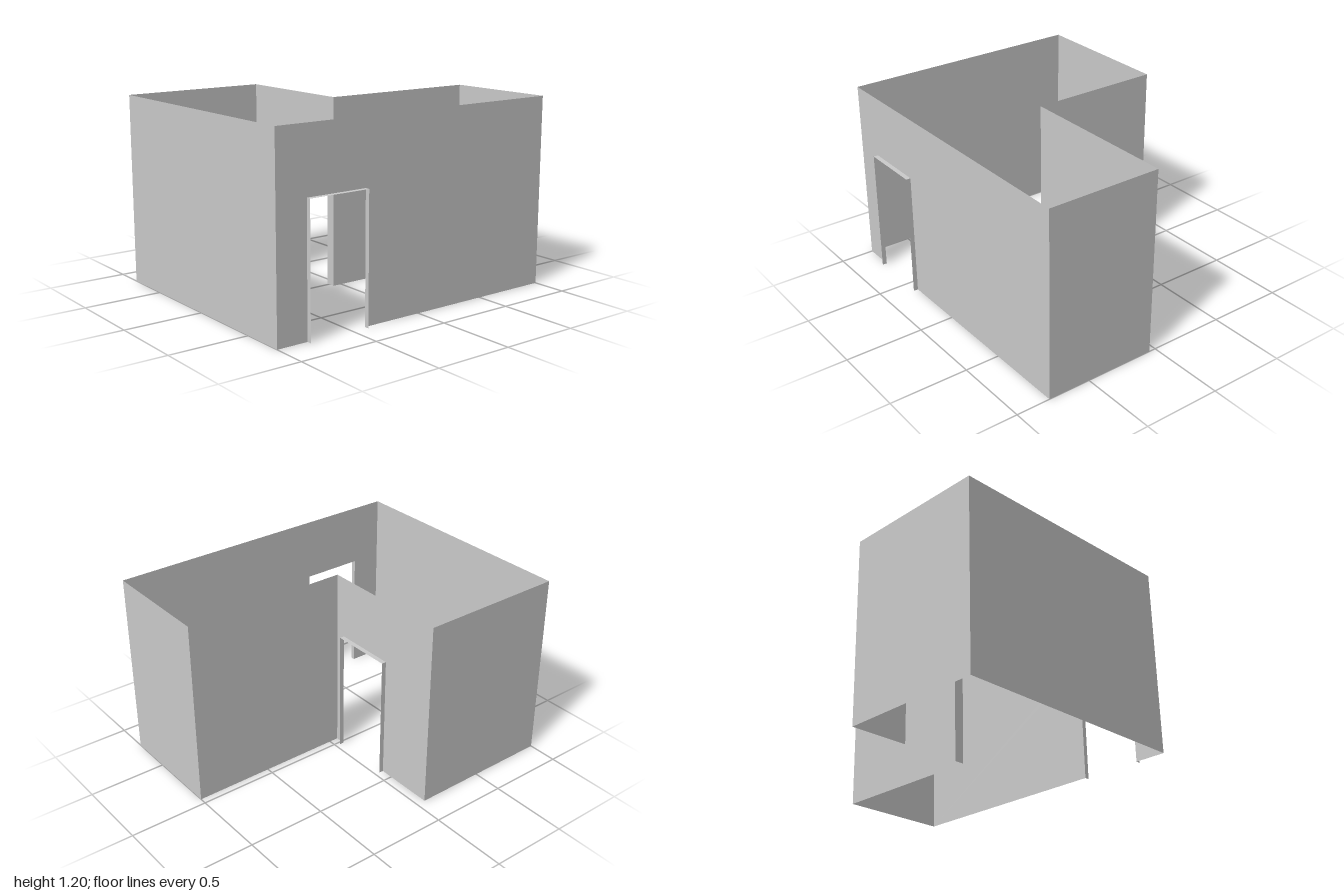
import * as THREE from 'three';

const HEIGHT = 1.2, DOOR_HEIGHT = 0.8, REVEAL = 0.03;

// L-shaped floor plan as [x, z], with an optional doorway [start, end] measured along the wall
const PLAN = [
  { name: 'frontWall', at: [-0.81, 1] },
  { name: 'rightWall', at: [0.78, 1], door: [0.2, 0.6] },
  { name: 'backWall', at: [0.78, -1] },
  { name: 'innerWall', at: [0.045, -1] },
  { name: 'recessedWall', at: [0.045, 0.06], door: [0.065, 0.465] },
  { name: 'leftWall', at: [-0.81, 0.06] },
];

export function createModel() {
  const model = new THREE.Group();
  model.name = 'roomShell';
  const material = new THREE.MeshStandardMaterial({
    color: 0xcccccc, flatShading: true, side: THREE.DoubleSide,
  });

  // Thin sheet standing in the wall's local frame
  const addMesh = (parent, name, geometry) => {
    const mesh = new THREE.Mesh(geometry, material);
    mesh.name = name;
    parent.add(mesh);
    return mesh;
  };

  PLAN.forEach(({ name, at, door }, i) => {
    const next = PLAN[(i + 1) % PLAN.length].at;
    const dx = next[0] - at[0], dz = next[1] - at[1];
    const length = Math.hypot(dx, dz);

    // Local x runs along the wall, local z points outdoors
    const wall = new THREE.Group();
    wall.name = name;
    wall.position.set(at[0], 0, at[1]);
    wall.rotation.y = Math.atan2(-dz, dx);
    model.add(wall);

    // Wall outline, notched at the ground for the doorway
    const outline = [[0, 0]];
    if (door) {
      const [a, b] = door;
      outline.push([a, 0], [a, DOOR_HEIGHT], [b, DOOR_HEIGHT], [b, 0]);
    }
    outline.push([length, 0], [length, HEIGHT], [0, HEIGHT]);
    const shape = new THREE.Shape(outline.map(([x, y]) => new THREE.Vector2(x, y)));
    addMesh(wall, name + 'Panel', new THREE.ShapeGeometry(shape));

    // Thin door surround projecting outward: two jambs and a lintel
    if (door) {
      const [a, b] = door;
      for (const [side, x] of [['Near', a], ['Far', b]]) {
        const jamb = new THREE.PlaneGeometry(REVEAL, DOOR_HEIGHT).rotateY(Math.PI / 2);
        addMesh(wall, 'doorJamb' + side, jamb).position.set(x, DOOR_HEIGHT / 2, REVEAL / 2);
      }
      const lintel = new THREE.PlaneGeometry(b - a, REVEAL).rotateX(-Math.PI / 2);
      addMesh(wall, 'doorLintel', lintel).position.set((a + b) / 2, DOOR_HEIGHT, REVEAL / 2);
    }
  });

  return model;
}
